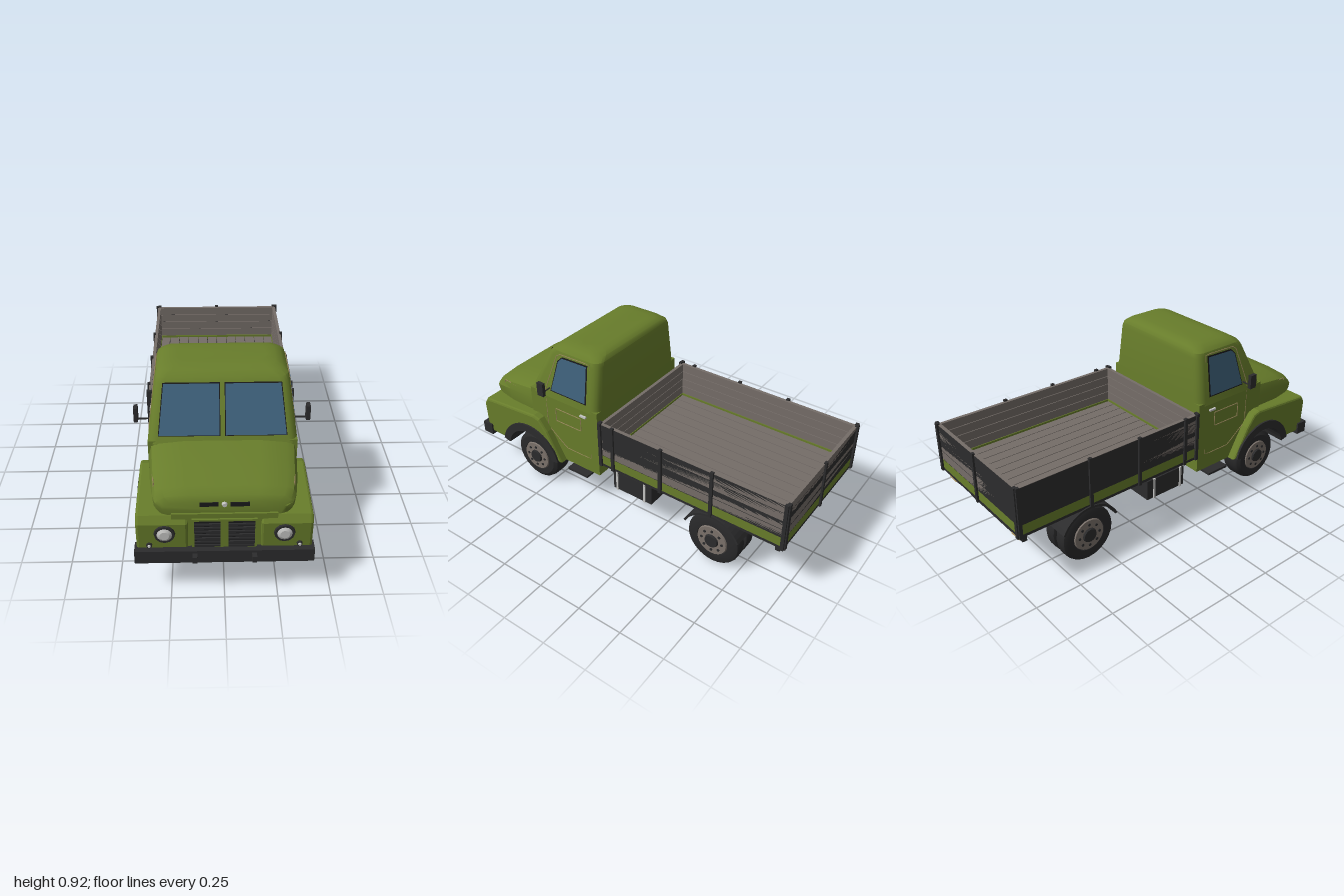
import * as THREE from 'three';
import { toCreasedNormals } from 'three/addons/utils/BufferGeometryUtils.js';

const mat = (name, color, side = THREE.FrontSide) => {
  const m = new THREE.MeshStandardMaterial({ color, side });
  m.name = name;
  return m;
};

export function createModel() {
  const truck = new THREE.Group();
  truck.name = 'truck';
  const green = mat('green paint', 0x687d2b), glass = mat('window glass', 0x3f627c, THREE.DoubleSide);
  const dark = mat('dark metal', 0x2c2c2d), black = mat('black', 0x1a1a1b, THREE.DoubleSide);
  const rubber = mat('tyre rubber', 0x29292a), wood = mat('weathered wood', 0x756d68);
  const rimMat = mat('wheel rim', 0x7b726b), light = mat('lens and chrome', 0xc4c4c2);
  const tan = mat('tan trim', 0x9c8a5e), amber = mat('rear lamp', 0xc0a670);

  const add = (name, geo, material, parent = truck) => {
    const m = new THREE.Mesh(geo, material);
    m.name = name;
    parent.add(m);
    return m;
  };
  // Box given by its min and max on each axis
  const box = (name, material, x0, x1, y0, y1, z0, z1) =>
    add(name, new THREE.BoxGeometry(x1 - x0, y1 - y0, z1 - z0)
      .translate((x0 + x1) / 2, (y0 + y1) / 2, (z0 + z1) / 2), material);
  // The same box on both sides
  const boxes = (name, material, x0, x1, ...r) => {
    box(name + 'Left', material, x0, x1, ...r);
    box(name + 'Right', material, -x1, -x0, ...r);
  };
  // Side profile of [z, y] points extruded from x0 to x1
  const sideExtrude = (pts, x0, x1, bevel = 0) => {
    const shape = new THREE.Shape(pts.map(p => new THREE.Vector2(...p)));
    return new THREE.ExtrudeGeometry(shape, {
      depth: x1 - x0 - 2 * bevel, bevelEnabled: bevel > 0, bevelSize: bevel,
      bevelThickness: bevel, bevelOffset: -bevel, bevelSegments: 2,
    }).rotateY(-Math.PI / 2).translate(x1 - bevel, 0, 0);
  };
  const arc = (cz, cy, r, a0, a1, n = 16) => Array.from({ length: n + 1 }, (_, i) => {
    const a = THREE.MathUtils.degToRad(a0 + (a1 - a0) * i / n);
    return [cz + r * Math.cos(a), cy + r * Math.sin(a)];
  });
  // Closed skin through equal-length rings, capped at both ends
  const loft = (rings, crease = 0.55) => {
    const n = rings[0].length, pos = rings.flat(2), idx = [];
    for (let r = 0; r < rings.length - 1; r++) for (let i = 0; i < n; i++) {
      const a = r * n + i, b = r * n + (i + 1) % n;
      idx.push(a, b, b + n, a, b + n, a + n);
    }
    const last = (rings.length - 1) * n;
    for (let i = 1; i < n - 1; i++) idx.push(0, i + 1, i, last, last + i, last + i + 1);
    let vol = 0;
    const v = k => new THREE.Vector3().fromArray(pos, idx[k] * 3);
    for (let k = 0; k < idx.length; k += 3) vol += v(k).dot(v(k + 1).cross(v(k + 2)));
    if (vol < 0) idx.reverse();
    const g = new THREE.BufferGeometry();
    g.setAttribute('position', new THREE.Float32BufferAttribute(pos, 3));
    g.setIndex(idx);
    return toCreasedNormals(g, crease);
  };
  // Flat polygon as a fan
  const plate = (name, pts, material) => {
    const g = new THREE.BufferGeometry();
    g.setAttribute('position', new THREE.Float32BufferAttribute(pts.flat(), 3));
    g.setIndex(pts.slice(2).flatMap((_, i) => [0, i + 1, i + 2]));
    g.computeVertexNormals();
    return add(name, g, material);
  };
  const line = (name, pts, r, material, closed = false) => {
    const path = new THREE.CurvePath(), v = pts.map(p => new THREE.Vector3(...p));
    if (closed) v.push(v[0].clone());
    for (let i = 1; i < v.length; i++) path.add(new THREE.LineCurve3(v[i - 1], v[i]));
    add(name, new THREE.TubeGeometry(path, 48, r, 4), material);
  };

  // Lower cab with wheel arch cut
  add('cabBody', sideExtrude([[0.135, 0.21], ...arc(0.6, 0.17, 0.2, 168, 90, 10), [0.6, 0.615], [0.135, 0.615]], -0.355, 0.355), green);
  box('noseBody', green, -0.24, 0.24, 0.215, 0.45, 0.3, 0.935);
  box('cabFloor', black, -0.24, 0.24, 0.203, 0.214, 0.14, 0.93);

  // Upper cab: rounded rings rising to the roof [y, half width, back z, front z, corner radius]
  const cabRing = ([y, w, b, f, r]) => [[w - r, f - r, 0], [-w + r, f - r, 90], [-w + r, b + r, 180], [w - r, b + r, 270]]
    .flatMap(([cx, cz, a]) => arc(cx, cz, r, a, a + 90, 4).map(([x, z]) => [x, y, z]));
  add('cabUpper', loft([
    [0.6, 0.357, 0.135, 0.607, 0.045], [0.64, 0.352, 0.135, 0.59, 0.045], [0.86, 0.322, 0.138, 0.482, 0.045],
    [0.885, 0.315, 0.142, 0.465, 0.05], [0.905, 0.292, 0.155, 0.435, 0.06],
    [0.917, 0.262, 0.18, 0.4, 0.06], [0.921, 0.22, 0.21, 0.36, 0.05],
  ].map(cabRing)), green);

  // Windows with dark surrounds, laid on the sloping faces
  const frontZ = y => 0.59 - (y - 0.64) * 0.491, sideX = y => 0.352 - (y - 0.64) * 0.136;
  for (const s of [1, -1]) {
    const screen = (e, o) => [[0.015 - e, 0.642 - e], [0.302 + e, 0.642 - e], [0.277 + e, 0.862 + e], [0.015 - e, 0.862 + e]]
      .map(([x, y]) => [s * x, y, frontZ(y) + o]);
    plate('windshieldSeal', screen(0.004, 0.003), black);
    plate('windshield', screen(0, 0.006), glass);
    const sideWin = (e, o) => [[0.445 + e, 0.65 - e], [0.4 + e, 0.83], [0.375, 0.855 + e], [0.212 - e, 0.86 + e], [0.212 - e, 0.65 - e]]
      .map(([z, y]) => [s * (sideX(y) + o), y, z]);
    plate('sideWindowSeal', sideWin(0.007, 0.003), black);
    plate('sideWindow', sideWin(0, 0.006), glass);

    // Door seams, pressed panel and handle
    const onSide = ([z, y]) => [s * (Math.min(0.355, sideX(Math.max(y, 0.62))) + 0.001), y, z];
    line('doorSeam', [[0.49, 0.4], [0.49, 0.64], [0.41, 0.87], [0.195, 0.875], [0.19, 0.3], [0.36, 0.3], [0.45, 0.37]].map(onSide), 0.0025, tan, true);
    line('doorPanel', [[0.425, 0.46], [0.425, 0.54], [0.25, 0.54], [0.25, 0.46]].map(onSide), 0.003, tan, true);
    const hx = s * 0.362;
    box('doorHandle', light, hx - 0.006, hx + 0.006, 0.563, 0.573, 0.205, 0.245);

    // Mirror on its arm
    line('mirrorArm', [[s * 0.345, 0.655, 0.46], [s * 0.415, 0.655, 0.46]], 0.005, dark);
    box('mirror', dark, s * 0.417 - 0.01, s * 0.417 + 0.01, 0.645, 0.722, 0.437, 0.478);

    // Hood side vent
    line('hoodVent', [[0.85, 0.49], [0.84, 0.555], [0.62, 0.552], [0.62, 0.495]]
      .map(([z, y]) => [s * (0.345 - (z - 0.6) * 0.11), y, z]), 0.003, tan, true);

    // Headlight and indicator
    const disc = (name, m, x, y, z, r0, r1, d, n = 12) => add(name,
      new THREE.CylinderGeometry(r1, r0, d, n).rotateX(Math.PI / 2).translate(s * x, y, z), m);
    disc('headlightRing', dark, 0.272, 0.348, 0.95, 0.05, 0.046, 0.012);
    disc('headlightLens', light, 0.272, 0.348, 0.958, 0.042, 0.022, 0.012);
    disc('indicatorRing', dark, 0.343, 0.283, 0.95, 0.014, 0.013, 0.01, 8);
    disc('indicatorLens', light, 0.343, 0.283, 0.957, 0.009, 0.006, 0.008, 8);
  }

  // Hood: cross-sections from windshield to nose [z, half width, top y, bottom y]
  add('hood', loft([[0.5, 0.355, 0.632, 0.42], [0.6, 0.353, 0.618, 0.42], [0.785, 0.338, 0.592, 0.42],
    [0.875, 0.325, 0.565, 0.425], [0.91, 0.31, 0.54, 0.43], [0.925, 0.28, 0.515, 0.44]].map(([z, w, t, b]) => {
    const half = [[0.9 * w, b], [0.98 * w, b + 0.03], [w, b + 0.6 * (t - b)], [0.96 * w, t - 0.03], [0.86 * w, t - 0.012], [0.5 * w, t - 0.002]];
    return [...half, ...half.map(([x, y]) => [-x, y]).reverse()].map(([x, y]) => [x, y, z]);
  })), green);
  boxes('hoodSlot', black, 0.027, 0.112, 0.487, 0.509, 0.92, 0.929);
  add('hoodLatch', new THREE.CylinderGeometry(0.01, 0.014, 0.012, 8).rotateX(Math.PI / 2).translate(0, 0.498, 0.93), light);

  // Grille
  box('grillePanel', green, -0.148, 0.148, 0.255, 0.425, 0.92, 0.945);
  boxes('grilleOpening', black, 0.018, 0.137, 0.268, 0.415, 0.944, 0.948);
  for (let i = 0; i < 7; i++) boxes('grilleSlat', dark, 0.018, 0.137, 0.274 + i * 0.0205, 0.285 + i * 0.0205, 0.946, 0.955);

  // Front fenders with dark arch flares
  const fender = [...arc(0.6, 0.17, 0.2, 168, 12), [0.94, 0.212], [0.948, 0.4], [0.925, 0.437], [0.56, 0.462], [0.52, 0.45], [0.47, 0.385], [0.375, 0.212]];
  const flare = [...arc(0.6, 0.17, 0.165, 168, 12), ...arc(0.6, 0.17, 0.212, 12, 168)];
  const mudguard = [...arc(-0.6, 0.15, 0.165, 155, 25), ...arc(-0.6, 0.15, 0.177, 25, 155)];
  for (const [a, b] of [[0, 1], [-1, 0]]) {
    const span = (lo, hi) => a === 0 ? [lo, hi] : [-hi, -lo];
    add('frontFender', sideExtrude(fender, ...span(0.165, 0.402), 0.012), green);
    add('archFlare', sideExtrude(flare, ...span(0.25, 0.412)), dark);
    add('rearMudguard', sideExtrude(mudguard, ...span(0.2, 0.39)), dark);
  }

  // Front bumper and tow hooks
  box('frontBumper', dark, -0.412, 0.412, 0.195, 0.264, 0.905, 0.972);
  boxes('towHook', dark, 0.125, 0.147, 0.215, 0.25, 0.97, 1);

  // Wheels: tyre, rim, hub and bolts
  const wheel = (name, s, z, x0, x1) => {
    const g = new THREE.Group(), w = (x1 - x0) / 2;
    g.name = name;
    const tyre = [[0.08, -w], [0.125, -w], [0.145, -w * 0.8], [0.15, -w * 0.5], [0.15, w * 0.5], [0.145, w * 0.8], [0.125, w], [0.09, w], [0.086, w - 0.015], [0, w - 0.015]];
    add('tyre', toCreasedNormals(new THREE.LatheGeometry([[0, -w], ...tyre].map(p => new THREE.Vector2(...p)), 24), 0.5), rubber, g);
    add('rim', new THREE.CylinderGeometry(0.084, 0.09, 0.016, 24).translate(0, w - 0.004, 0), rimMat, g);
    add('hub', new THREE.CylinderGeometry(0.036, 0.045, 0.025, 12).translate(0, w + 0.002, 0), dark, g);
    for (let i = 0; i < 8; i++) {
      const a = i * Math.PI / 4;
      add('bolt', new THREE.CylinderGeometry(0.008, 0.008, 0.006, 6).translate(0.06 * Math.cos(a), w + 0.005, 0.06 * Math.sin(a)), dark, g);
    }
    g.rotation.z = -s * Math.PI / 2;
    g.position.set(s * (x0 + x1) / 2, 0.15, z);
    truck.add(g);
  };
  for (const s of [1, -1]) {
    wheel('frontWheel', s, 0.595, 0.243, 0.368);
    wheel('rearInnerWheel', s, -0.6, 0.2, 0.28);
    wheel('rearOuterWheel', s, -0.6, 0.29, 0.368);
  }

  // Axles, differentials and driveshaft
  for (const z of [0.595, -0.6]) {
    box('axle', dark, -0.25, 0.25, 0.13, 0.17, z - 0.025, z + 0.025);
    add('differential', new THREE.CylinderGeometry(0.025, 0.055, 0.05, 8).rotateZ(Math.PI / 2).translate(-0.025, 0.15, z), dark);
    add('differential', new THREE.CylinderGeometry(0.055, 0.025, 0.05, 8).rotateZ(Math.PI / 2).translate(0.025, 0.15, z), dark);
  }
  line('driveshaft', [[0, 0.2, 0.2], [0, 0.155, -0.6]], 0.014, dark);

  // Chassis rails and cross members
  boxes('chassisRail', dark, 0.13, 0.165, 0.205, 0.325, -0.92, 0.14);
  for (const z of [0.05, -0.28, -0.42, -0.9]) box('crossMember', dark, -0.15, 0.15, 0.23, 0.29, z - 0.02, z + 0.02);
  box('rearCrossBar', dark, -0.22, 0.22, 0.21, 0.255, -0.925, -0.895);
  boxes('lampBracket', dark, 0.26, 0.36, 0.275, 0.325, -0.965, -0.94);
  boxes('rearLamp', amber, 0.275, 0.345, 0.282, 0.315, -0.973, -0.965);

  // Side boxes with straps, and cab steps
  boxes('sideBox', dark, 0.19, 0.35, 0.172, 0.285, -0.21, 0.04);
  for (const z of [0.015, -0.165]) boxes('boxStrap', light, 0.186, 0.355, 0.169, 0.289, z - 0.006, z + 0.006);
  boxes('cabStep', dark, 0.25, 0.37, 0.162, 0.175, 0.215, 0.355);
  boxes('stepPost', dark, 0.29, 0.31, 0.17, 0.215, 0.27, 0.3);

  // Bed floor
  for (let i = 0; i < 12; i++) {
    const x = -0.372 + i * 0.062;
    box('floorPlank', wood, x + 0.002, x + 0.06, 0.36, 0.376, -0.98, 0.085);
  }
  for (const z of [0.06, -0.12, -0.34, -0.6, -0.8, -0.96]) box('bedBeam', dark, -0.375, 0.375, 0.322, 0.36, z - 0.018, z + 0.018);

  // Bed walls: bottom rail, green sill, four planks
  const wallRow = (name, m, y0, y1, t) => {
    boxes(name + 'Side', m, 0.382 - t, 0.382, y0, y1, -0.99, 0.098);
    box(name + 'Back', m, -0.382, 0.382, y0, y1, -0.99, -0.99 + t);
    box(name + 'Front', m, -0.382, 0.382, y0, y1, 0.098 - t, 0.098);
  };
  wallRow('bedRail', dark, 0.32, 0.335, 0.024);
  wallRow('bedSill', green, 0.335, 0.388, 0.02);
  wallRow('plankBacking', dark, 0.388, 0.585, 0.012);
  for (let i = 0; i < 4; i++) wallRow('wallPlank', wood, 0.39 + i * 0.05, 0.437 + i * 0.05, 0.018);

  // Bed posts
  for (const z of [0.094, 0.013, -0.29, -0.59, -0.985]) boxes('sidePost', dark, 0.376, 0.392, 0.32, 0.595, z - 0.009, z + 0.009);
  boxes('cornerPost', dark, 0.362, 0.382, 0.32, 0.595, -1, -0.982);
  boxes('frontPost', dark, 0.362, 0.382, 0.32, 0.595, 0.09, 0.106);
  box('rearPost', dark, -0.009, 0.009, 0.32, 0.595, -1, -0.985);
  return truck;
}
